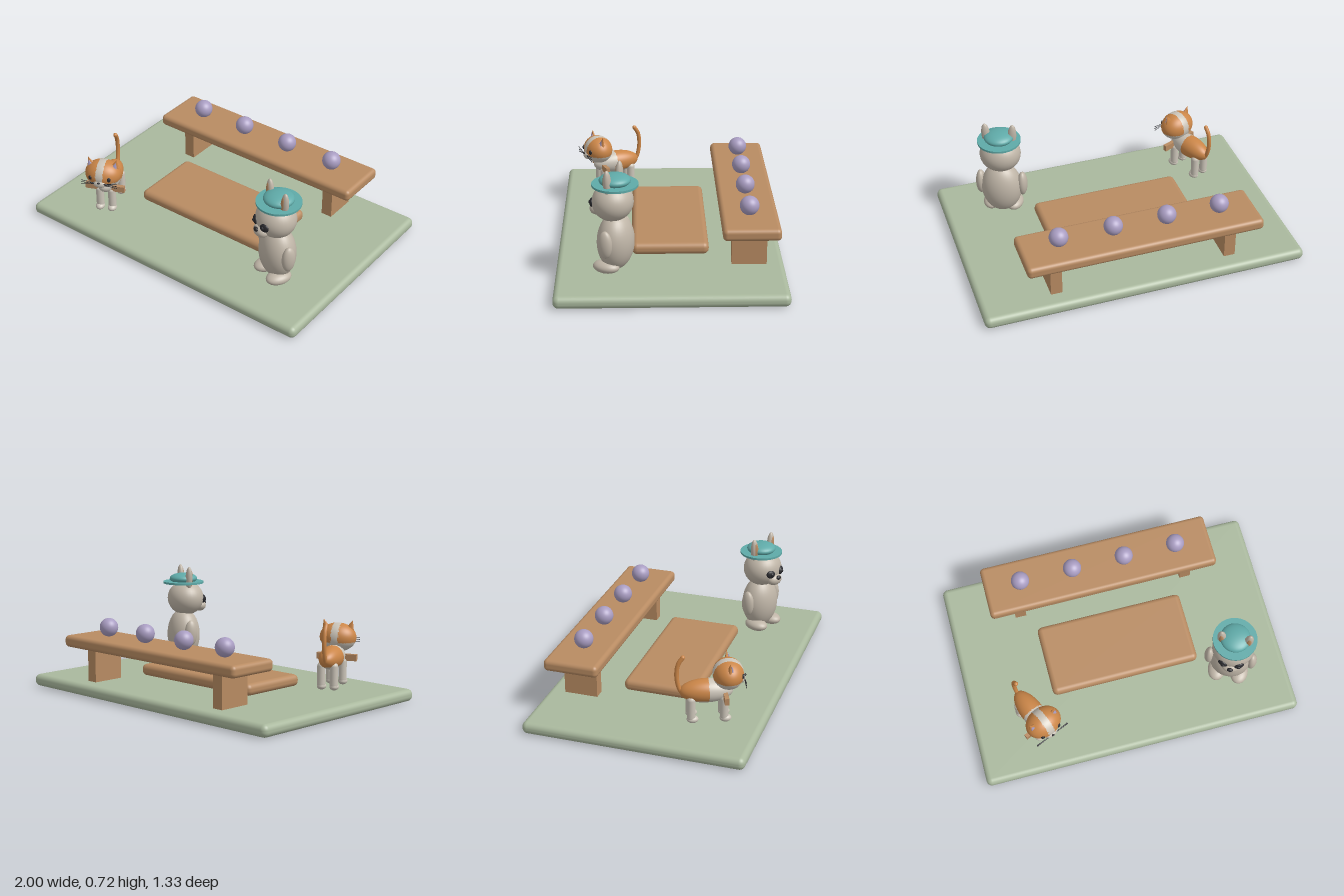
import * as THREE from 'three';
import { RoundedBoxGeometry } from 'three/addons/geometries/RoundedBoxGeometry.js';

const mat = (name, color) => {
  const m = new THREE.MeshStandardMaterial({ color });
  m.name = name;
  return m;
};

export function createModel() {
  const sage = mat('sage', 0xa9b89d);
  const wood = mat('wood', 0xb88b62);
  const lavender = mat('lavender', 0xa99dc2);
  const teal = mat('teal', 0x5faaa8);
  const stone = mat('stone', 0xbfb5a7);
  const orange = mat('orange', 0xcb8648);
  const cream = mat('cream', 0xcbc4b8);
  const dark = mat('dark', 0x2a2a2e);

  const root = new THREE.Group();
  root.name = 'gardenScene';

  const add = (parent, name, geo, material, pos = [0, 0, 0], rot = [0, 0, 0]) => {
    const m = new THREE.Mesh(geo, material);
    m.name = name;
    m.position.set(...pos);
    m.rotation.set(...rot);
    parent.add(m);
    return m;
  };
  const ellipsoid = (parent, name, material, pos, radii, rot) =>
    add(parent, name, new THREE.SphereGeometry(1, 32, 24).scale(...radii), material, pos, rot);
  const slab = (name, material, size, pos, r) =>
    add(root, name, new RoundedBoxGeometry(...size, 5, r), material, pos);

  // Sphere whose faces take material 0 or 1 by a rule on the unit position
  const paintedBall = (radii, rule) => {
    const g = new THREE.SphereGeometry(1, 72, 48).toNonIndexed();
    const p = g.attributes.position;
    for (let i = 0; i < p.count; i += 3) {
      const c = [0, 1, 2].map(k =>
        (p.getComponent(i, k) + p.getComponent(i + 1, k) + p.getComponent(i + 2, k)) / 3);
      const id = rule(...c);
      const last = g.groups[g.groups.length - 1];
      if (last && last.materialIndex === id) last.count += 3;
      else g.addGroup(i, 3, id);
    }
    return g.scale(...radii);
  };

  // Ground, low platform and bench
  slab('ground', sage, [2, 0.075, 1.33], [0, 0.0375, 0], 0.034);
  slab('platform', wood, [0.935, 0.073, 0.455], [-0.002, 0.117, -0.002], 0.032);
  slab('benchTop', wood, [1.46, 0.073, 0.335], [-0.002, 0.317, -0.4625], 0.026);
  for (const s of [-1, 1])
    add(root, 'benchLeg', new THREE.BoxGeometry(0.07, 0.22, 0.205), wood, [s * 0.545, 0.18, -0.458]);
  for (let i = 0; i < 4; i++)
    ellipsoid(root, 'ball', lavender, [-0.503 + i * 0.333, 0.41, -0.46], [0.057, 0.057, 0.057]);

  // Upright animal with a hat
  const bear = new THREE.Group();
  bear.name = 'hatAnimal';
  bear.position.set(0.64, 0, 0.315);
  bear.rotation.y = -0.42;
  root.add(bear);
  ellipsoid(bear, 'body', stone, [0, 0.26, 0], [0.126, 0.17, 0.105]);
  ellipsoid(bear, 'head', stone, [0, 0.502, 0.015], [0.127, 0.113, 0.118]);
  ellipsoid(bear, 'muzzle', stone, [0, 0.448, 0.112], [0.055, 0.038, 0.042]);
  ellipsoid(bear, 'nose', dark, [0, 0.467, 0.147], [0.019, 0.014, 0.012]);
  for (const s of [-1, 1]) {
    ellipsoid(bear, 'eyePatch', dark, [s * 0.05, 0.497, 0.122], [0.03, 0.026, 0.014], [0, s * 0.4, s * 0.3]);
    ellipsoid(bear, 'eye', dark, [s * 0.047, 0.497, 0.133], [0.013, 0.013, 0.01]);
    ellipsoid(bear, 'ear', stone, [s * 0.08, 0.637, 0.01], [0.027, 0.08, 0.022], [0, 0, -s * 0.08]);
    ellipsoid(bear, 'innerEar', wood, [s * 0.08, 0.637, 0.024], [0.016, 0.058, 0.011], [0, 0, -s * 0.08]);
    ellipsoid(bear, 'arm', stone, [s * 0.131, 0.285, 0.005], [0.031, 0.083, 0.042]);
    ellipsoid(bear, 'foot', stone, [s * 0.07, 0.122, 0.03], [0.056, 0.037, 0.08]);
  }
  add(bear, 'hatBrim', new THREE.CylinderGeometry(0.133, 0.133, 0.013, 48), teal, [0, 0.608, 0]);
  ellipsoid(bear, 'hatCrown', teal, [0, 0.633, 0], [0.091, 0.037, 0.091]);

  // Four-legged animal
  const cat = new THREE.Group();
  cat.name = 'patchedAnimal';
  cat.position.set(-0.63, 0, 0.33);
  cat.rotation.y = 0.41;
  root.add(cat);
  add(cat, 'body', paintedBall([0.07, 0.07, 0.155], (x, y, z) => (z > 0.08 || y < -0.6 ? 1 : 0)),
    [orange, cream], [0, 0.265, 0.005]);
  add(cat, 'collarBar', new THREE.BoxGeometry(0.25, 0.04, 0.025), wood, [0, 0.25, 0.11]);

  const head = new THREE.Group();
  head.name = 'headGroup';
  head.position.set(0, 0.368, 0.13);
  cat.add(head);
  add(head, 'head', paintedBall([0.113, 0.088, 0.09], (x, y) => (Math.abs(x) < 0.2 || y < -0.3 ? 1 : 0)),
    [orange, cream]);
  ellipsoid(head, 'muzzle', cream, [0, -0.03, 0.077], [0.042, 0.026, 0.022]);
  ellipsoid(head, 'nose', dark, [0, -0.014, 0.098], [0.009, 0.007, 0.006]);
  for (const s of [-1, 1]) {
    ellipsoid(head, 'eye', dark, [s * 0.06, 0.006, 0.077], [0.012, 0.015, 0.007], [0, s * 0.5, 0]);
    // Flattened cone ears with a coloured inner face
    add(head, 'ear', new THREE.ConeGeometry(0.04, 0.09, 24).scale(1, 1, 0.5), orange,
      [s * 0.078, 0.064, 0], [0, 0, -s * 0.3]);
    add(head, 'innerEar', new THREE.ConeGeometry(0.029, 0.068, 24).scale(1, 1, 0.4), lavender,
      [s * 0.078, 0.06, 0.012], [-0.12, 0, -s * 0.3]);
    for (const k of [-1, 0, 1])
      add(head, 'whisker', new THREE.CylinderGeometry(0.0018, 0.0018, 0.085, 6), dark,
        [s * 0.072, -0.024 + k * 0.009, 0.09], [0, 0, Math.PI / 2 + s * k * 0.14]);
    for (const z of [-0.085, 0.105]) {
      add(cat, 'leg', new THREE.CapsuleGeometry(0.025, 0.11, 8, 20), cream, [s * 0.039, 0.17, z]);
      ellipsoid(cat, 'paw', cream, [s * 0.039, 0.102, z + 0.008], [0.028, 0.022, 0.034]);
    }
  }

  // Raised curved tail with a rounded tip
  const path = new THREE.CatmullRomCurve3([
    [0, 0.24, -0.125], [0, 0.29, -0.152], [0, 0.37, -0.165], [0, 0.44, -0.155], [0, 0.48, -0.13],
  ].map(p => new THREE.Vector3(...p)));
  add(cat, 'tail', new THREE.TubeGeometry(path, 32, 0.013, 14), orange);
  ellipsoid(cat, 'tailTip', orange, [0, 0.48, -0.13], [0.013, 0.013, 0.013]);

  return root;
}
